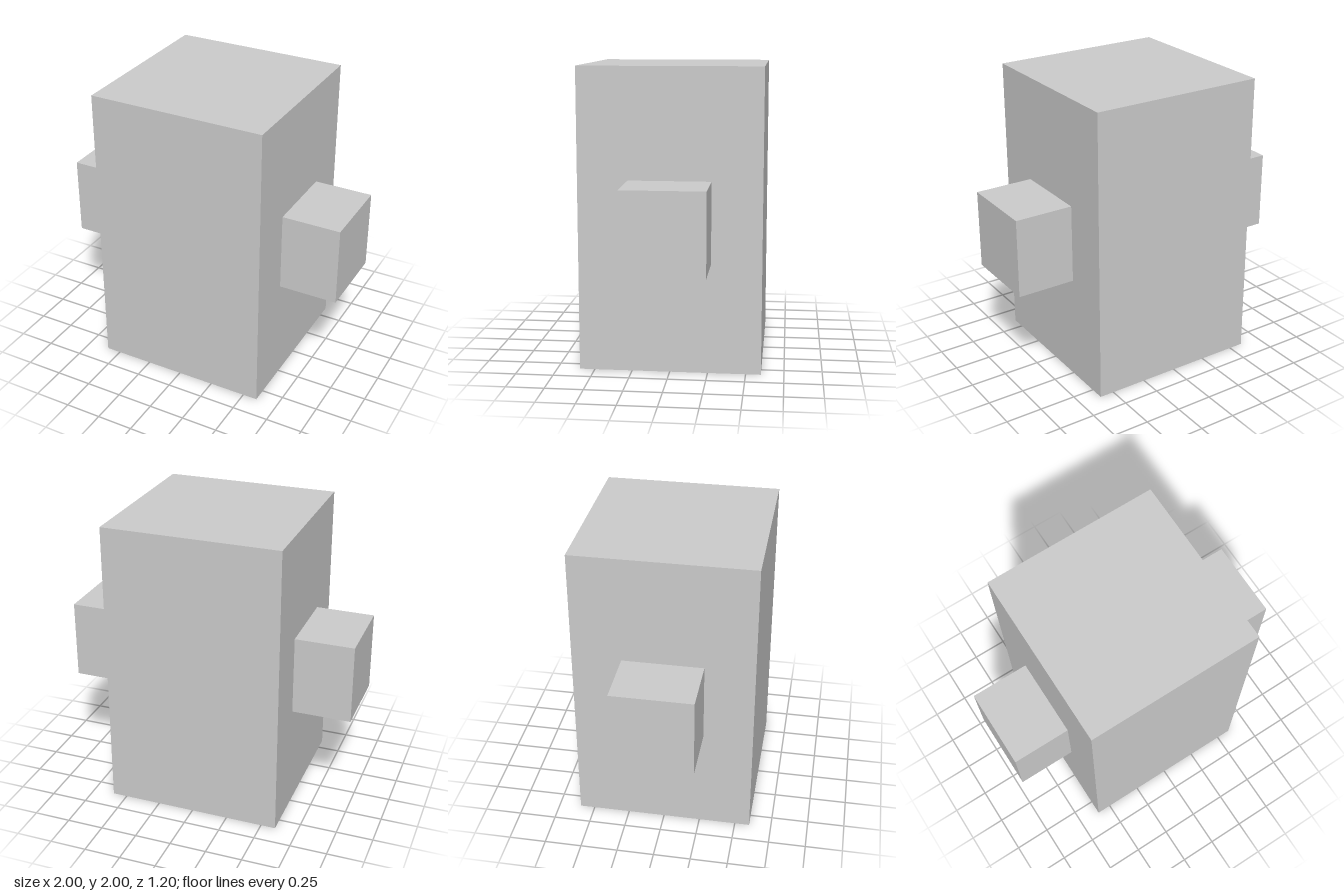
import * as THREE from 'three';

export function createModel() {
  const model = new THREE.Group();
  const material = new THREE.MeshStandardMaterial({ color: 0xcccccc, flatShading: true });

  const addBox = (name, [w, h, d], [x, y, z]) => {
    const mesh = new THREE.Mesh(new THREE.BoxGeometry(w, h, d), material);
    mesh.name = name;
    mesh.position.set(x, y, z);
    model.add(mesh);
  };

  // Upright main block
  addBox('body', [1.2, 2, 1.2], [0, 1, 0]);

  // Square pegs, one on each side
  for (const side of [1, -1]) {
    addBox(side > 0 ? 'leftPeg' : 'rightPeg', [0.4, 0.54, 0.54], [side * 0.8, 1, 0]);
  }

  return model;
}
